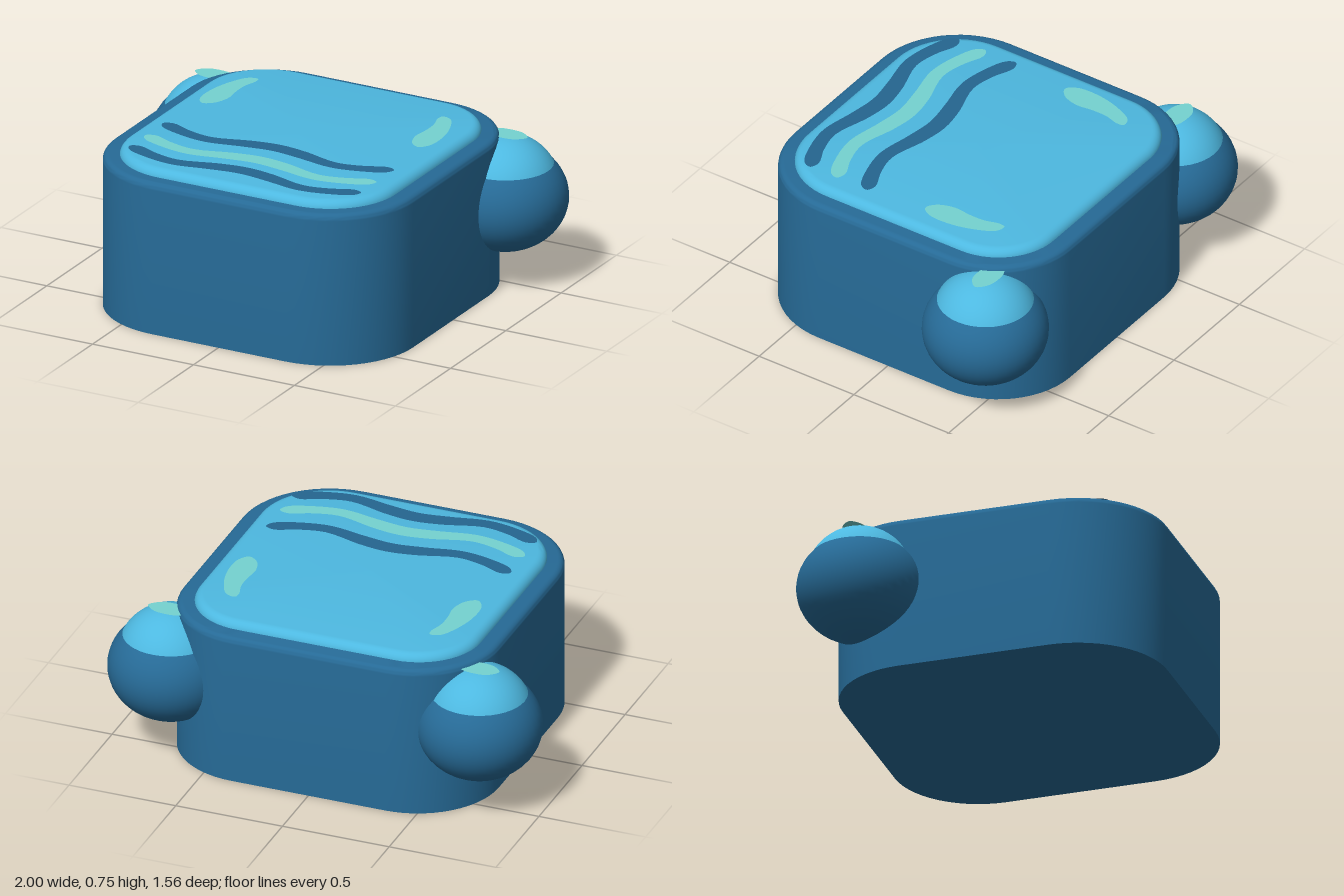
import * as THREE from 'three';
import { toCreasedNormals } from 'three/addons/utils/BufferGeometryUtils.js';

const mat = (name, color, extra = {}) => {
  const m = new THREE.MeshStandardMaterial({ color, ...extra });
  m.name = name;
  return m;
};

// Outline of a rounded rectangle in x/z, with its own radii at back and front
function outline(w, back, front, rBack, rFront, inset) {
  const pts = [], n = 14;
  const corners = [[1, front, rFront], [-1, front, rFront], [-1, back, rBack], [1, back, rBack]];
  corners.forEach(([sx, z, r], q) => {
    const cx = sx * (w - r), cz = z - Math.sign(z) * r;
    for (let i = 0; i <= n; i++) {
      const a = (q + i / n) * Math.PI / 2;
      pts.push([cx + (r - inset) * Math.cos(a), cz + (r - inset) * Math.sin(a)]);
    }
  });
  return pts;
}

// Solid block from y0 to y1 with a rounded top edge and a sharp bottom edge
function roundedTopBlock(w, back, front, rBack, rFront, y0, y1, bevel) {
  const levels = [[0, y0]], steps = 6;
  for (let i = 0; i <= steps; i++) {
    const a = (i / steps) * Math.PI / 2;
    levels.push([bevel * (1 - Math.cos(a)), y1 - bevel + bevel * Math.sin(a)]);
  }
  const pos = [], idx = [];
  let n = 0;
  for (const [inset, y] of levels) {
    const ring = outline(w, back, front, rBack, rFront, inset);
    n = ring.length;
    for (const [x, z] of ring) pos.push(x, y, z);
  }
  const mid = (back + front) / 2, bottom = pos.length / 3, top = bottom + 1;
  pos.push(0, y0, mid, 0, y1, mid);
  const last = (levels.length - 1) * n;
  for (let j = 0; j < n; j++) {
    const k = (j + 1) % n;
    for (let i = 0; i < levels.length - 1; i++) {
      const a = i * n + j, b = i * n + k;
      idx.push(a, a + n, b, b, a + n, b + n);
    }
    idx.push(bottom, j, k, top, last + k, last + j);
  }
  const g = new THREE.BufferGeometry();
  g.setAttribute('position', new THREE.Float32BufferAttribute(pos, 3));
  g.setIndex(idx);
  return toCreasedNormals(g, 0.7);
}

// Flat painted mark lying in the x/z plane, from a smooth closed loop
function flatMark(points) {
  const curve = new THREE.CatmullRomCurve3(
    points.map(([x, z]) => new THREE.Vector3(x, -z, 0)), true);
  const shape = new THREE.Shape(curve.getPoints(90).map(p => new THREE.Vector2(p.x, p.y)));
  return new THREE.ShapeGeometry(shape, 1).rotateX(-Math.PI / 2);
}

export function createModel() {
  const model = new THREE.Group();
  model.name = 'block';
  const darkBlue = mat('dark blue', 0x266a96);
  const lightBlue = mat('light blue', 0x4db8e0);
  const markBlue = mat('stripe blue', 0x25658f, { side: THREE.DoubleSide });
  const mint = mat('mint', 0x74d2d0, { side: THREE.DoubleSide });

  const add = (parent, name, geo, material, x = 0, y = 0, z = 0) => {
    const m = new THREE.Mesh(geo, material);
    m.name = name;
    m.position.set(x, y, z);
    parent.add(m);
    return m;
  };

  // Main body and raised top pad
  add(model, 'body', roundedTopBlock(0.74, -0.70, 0.775, 0.38, 0.41, 0, 0.705, 0.03), darkBlue);
  add(model, 'topPad', roundedTopBlock(0.66, -0.62, 0.70, 0.29, 0.32, 0.68, 0.74, 0.042), lightBlue);

  // Three wavy stripes near the front
  const half = [[0, 0.208], [0.13, 0.225], [0.31, 0.272], [0.43, 0.25], [0.53, 0.211],
    [0.572, 0.228], [0.555, 0.268], [0.45, 0.312], [0.31, 0.335], [0.14, 0.305], [0, 0.287]];
  const mirrored = half.slice(1, -1).reverse().map(([x, z]) => [-x, z]);
  const stripe = flatMark([...half, ...mirrored]);
  [[0, markBlue], [0.16, mint], [0.30, markBlue]].forEach(([z, m], i) =>
    add(model, 'waveStripe' + (i + 1), stripe, m, 0, 0.75, z));

  const sideMark = [[0.457, -0.42], [0.50, -0.41], [0.545, -0.33], [0.575, -0.21],
    [0.57, -0.10], [0.535, -0.057], [0.49, -0.085], [0.463, -0.16], [0.47, -0.25],
    [0.468, -0.32], [0.45, -0.39]];

  for (const s of [1, -1]) {
    const side = s > 0 ? 'left' : 'right';
    // Curved mark on the pad
    add(model, side + 'PadMark', flatMark(sideMark.map(([x, z]) => [s * x, z])), mint, 0, 0.75, 0);

    // Round ear with a light cap and a small oval mark
    const ear = new THREE.Group();
    ear.name = side + 'Ear';
    ear.position.set(s * 0.723, 0, -0.503);
    model.add(ear);
    add(ear, 'earBall', new THREE.SphereGeometry(0.277, 40, 28).scale(1, 0.24 / 0.277, 1),
      darkBlue, 0, 0.402, 0);
    add(ear, 'earCap', new THREE.SphereGeometry(0.24, 40, 16, 0, Math.PI * 2, 0, Math.PI / 2),
      lightBlue, 0, 0.443, 0);
    add(ear, 'earMark', flatMark([[0.1, 0], [0.06, 0.043], [0, 0.052], [-0.06, 0.04],
      [-0.098, 0], [-0.06, -0.043], [0, -0.052], [0.06, -0.04]]), mint, 0, 0.686, -0.015);
  }
  return model;
}
